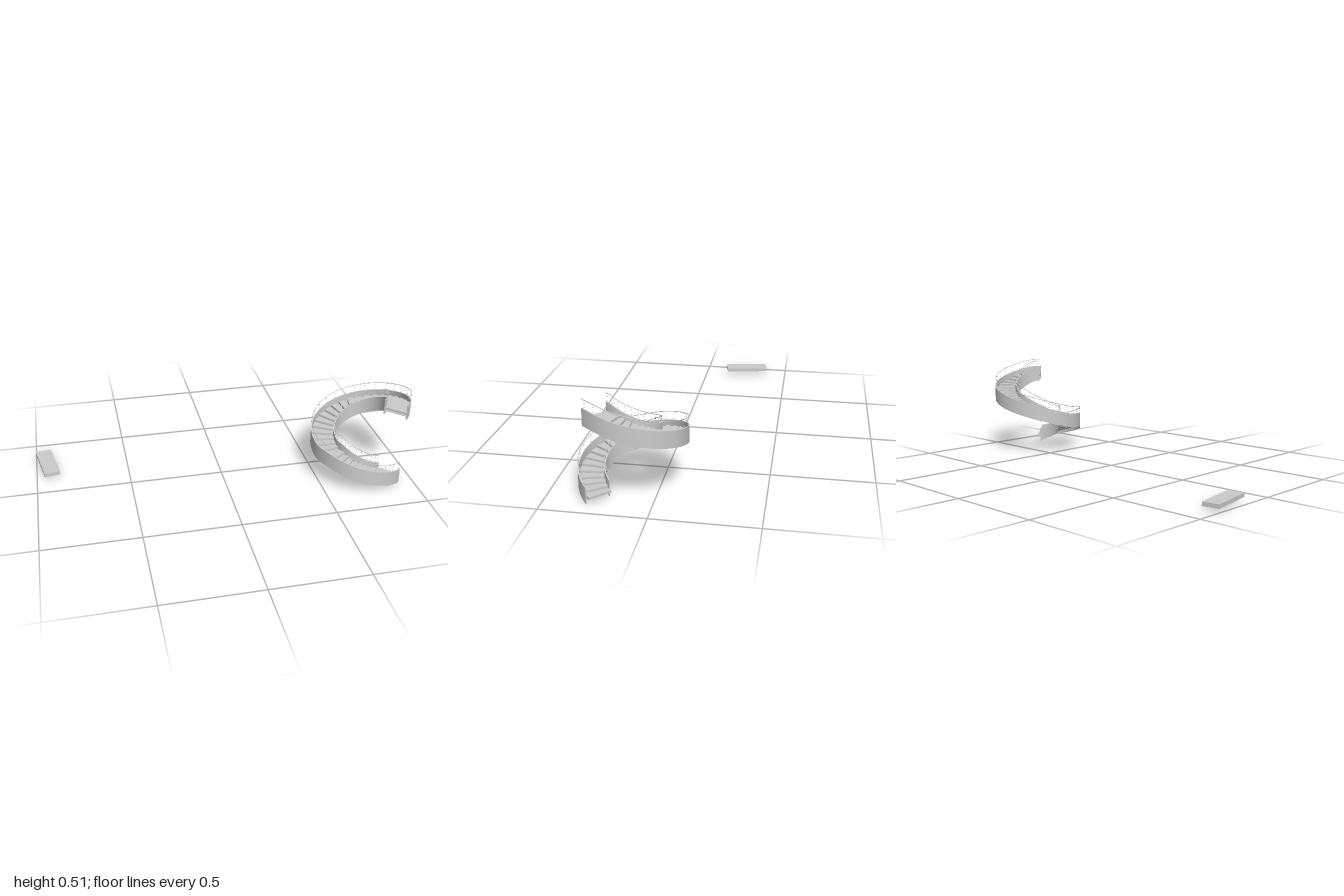
import * as THREE from 'three';

const RAD = Math.PI / 180;
const START = 45, END = 405;          // one full turn, degrees
const R_IN = 0.13, R_OUT = 0.257, WALL = 0.005;
const BAND_H = 0.083, RAIL_UP = 0.126;
const FLIGHT_1 = 148, FLIGHT_2 = 168; // the mid landing lies between

const material = new THREE.MeshStandardMaterial({ color: 0xcccccc, side: THREE.DoubleSide });

// Height of the stringer's lower edge: two flights, each ending in a landing
const KEYS = [[START, 0], [90, 0.053], [FLIGHT_1, 0.128], [FLIGHT_2, 0.131], [270, 0.253], [390, 0.384], [420, 0.385]];
function rawHeight(a) {
  let i = 0;
  while (i < KEYS.length - 2 && a > KEYS[i + 1][0]) i++;
  const [a0, h0] = KEYS[i], [a1, h1] = KEYS[i + 1];
  return h0 + (h1 - h0) * (a - a0) / (a1 - a0);
}
function height(a) {
  let sum = 0;
  for (let k = -4; k <= 4; k++) sum += rawHeight(a + k * 2);
  return sum / 9;
}

const polar = (r, a, y) => new THREE.Vector3(r * Math.cos(a * RAD), y, r * Math.sin(a * RAD));

function addMesh(parent, name, geometry) {
  const mesh = new THREE.Mesh(geometry, material);
  mesh.name = name;
  parent.add(mesh);
  return mesh;
}

// Rectangular section swept up the helix; each side has its own vertices for sharp edges
function helixBar(r0, r1, y0, y1, segments = 120) {
  const corners = [[r0, y0], [r0, y1], [r1, y1], [r1, y0]];
  const pos = [], index = [];
  const push = (c, a) => pos.push(...polar(c[0], a, height(a) + c[1]).toArray());
  corners.forEach((c, side) => {
    const d = corners[(side + 1) % 4];
    const base = pos.length / 3;
    for (let i = 0; i <= segments; i++) {
      const a = START + (END - START) * i / segments;
      push(c, a);
      push(d, a);
      if (i < segments) {
        const p = base + i * 2;
        index.push(p, p + 2, p + 1, p + 1, p + 2, p + 3);
      }
    }
  });
  // end caps
  [START, END].forEach((a, end) => {
    const p = pos.length / 3;
    corners.forEach(c => push(c, a));
    if (end) index.push(p, p + 2, p + 1, p, p + 3, p + 2);
    else index.push(p, p + 1, p + 2, p, p + 2, p + 3);
  });
  const g = new THREE.BufferGeometry();
  g.setAttribute('position', new THREE.Float32BufferAttribute(pos, 3));
  g.setIndex(index);
  g.computeVertexNormals();
  return g;
}

// Wedge tread with a straight nosing that overhangs its front edge
function treadGeometry(a0, a1) {
  const r0 = R_IN + WALL, r1 = R_OUT - WALL, nose = 0.02;
  const nx = Math.sin(a0 * RAD) * nose, nz = -Math.cos(a0 * RAD) * nose;
  const shape = new THREE.Shape();
  const at = (r, a) => [r * Math.cos(a * RAD), r * Math.sin(a * RAD)];
  const [ix, iz] = at(r0, a0), [ox, oz] = at(r1 - 0.001, a0);
  shape.moveTo(ix + nx, iz + nz);
  shape.lineTo(ox + nx, oz + nz);
  const n = Math.ceil((a1 - a0) / 4);
  for (let i = 0; i <= n; i++) shape.lineTo(...at(r1, a0 + (a1 - a0) * i / n));
  for (let i = n; i >= 0; i--) shape.lineTo(...at(r0, a0 + (a1 - a0) * i / n));
  shape.closePath();
  const g = new THREE.ExtrudeGeometry(shape, { depth: 0.012, bevelEnabled: false });
  return g.rotateX(Math.PI / 2);
}

function buildStairs() {
  const stairs = new THREE.Group();
  stairs.name = 'spiralStaircase';

  // Curved side walls and the sheet beneath the steps
  addMesh(stairs, 'outerStringer', helixBar(R_OUT - WALL, R_OUT, 0, BAND_H));
  addMesh(stairs, 'innerStringer', helixBar(R_IN, R_IN + WALL, 0, BAND_H));
  addMesh(stairs, 'soffit', helixBar(R_IN + WALL, R_OUT - WALL, 0.019, 0.022));

  // Treads of both flights and the two landings
  const treads = new THREE.Group();
  treads.name = 'treads';
  stairs.add(treads);
  const addTread = (name, a0, a1, top) => { addMesh(treads, name, treadGeometry(a0, a1)).position.y = top; };
  const step1 = (FLIGHT_1 - START) / 10, step2 = (390 - FLIGHT_2) / 20;
  for (let i = 0; i < 10; i++) {
    addTread('tread', START + i * step1, START + (i + 1) * step1, 0.04 + i * 0.0128);
  }
  addTread('midLanding', FLIGHT_1, FLIGHT_2, 0.169);
  for (let i = 0; i < 20; i++) {
    const a = FLIGHT_2 + i * step2, last = i === 19;
    addTread(last ? 'topLanding' : 'tread', a, last ? END : a + step2, 0.171 + (i + 1) * 0.0127);
  }

  // Handrails and the small fixing pins below them
  for (const [side, r] of [['outer', R_OUT - 0.003], ['inner', R_IN + 0.003]]) {
    const points = [];
    for (let a = START; a <= END; a += 6) points.push(polar(r, a, height(a) + RAIL_UP));
    const curve = new THREE.CatmullRomCurve3(points);
    addMesh(stairs, side + 'Handrail', new THREE.TubeGeometry(curve, 160, 0.0018, 8));

    const pins = new THREE.Group();
    pins.name = side + 'Pins';
    stairs.add(pins);
    const pinGeometry = new THREE.CylinderGeometry(0.0018, 0.0018, 0.006, 8).rotateZ(Math.PI / 2);
    for (let a = START + 4; a < END; a += 13) {
      for (const up of [0.008, 0.03]) {
        const pin = addMesh(pins, 'pin', pinGeometry);
        pin.position.copy(polar(r, a, height(a) + BAND_H + up));
        pin.rotation.y = -a * RAD;
      }
    }
  }
  return stairs;
}

// Separate step: a shallow tray, open underneath
function buildLooseStep() {
  const step = new THREE.Group();
  step.name = 'looseStep';
  const w = 0.085, l = 0.25, h = 0.02, t = 0.003;
  const box = (name, sx, sy, sz, x, y, z) =>
    addMesh(step, name, new THREE.BoxGeometry(sx, sy, sz)).position.set(x, y, z);
  box('stepTop', w, t, l, 0, h - t / 2, 0);
  for (const s of [-1, 1]) {
    box('stepSide', t, h - t, l, s * (w - t) / 2, (h - t) / 2, 0);
    box('stepEnd', w - 2 * t, h - t, t, 0, (h - t) / 2, s * (l - t) / 2);
  }
  return step;
}

export function createModel() {
  const model = new THREE.Group();
  model.name = 'stairModel';

  const stairs = buildStairs();
  stairs.position.set(0.738, 0, 0.117);
  model.add(stairs);

  const looseStep = buildLooseStep();
  looseStep.position.set(-0.937, 0.018, -0.252);
  looseStep.rotation.y = 10 * RAD;
  model.add(looseStep);
  return model;
}
